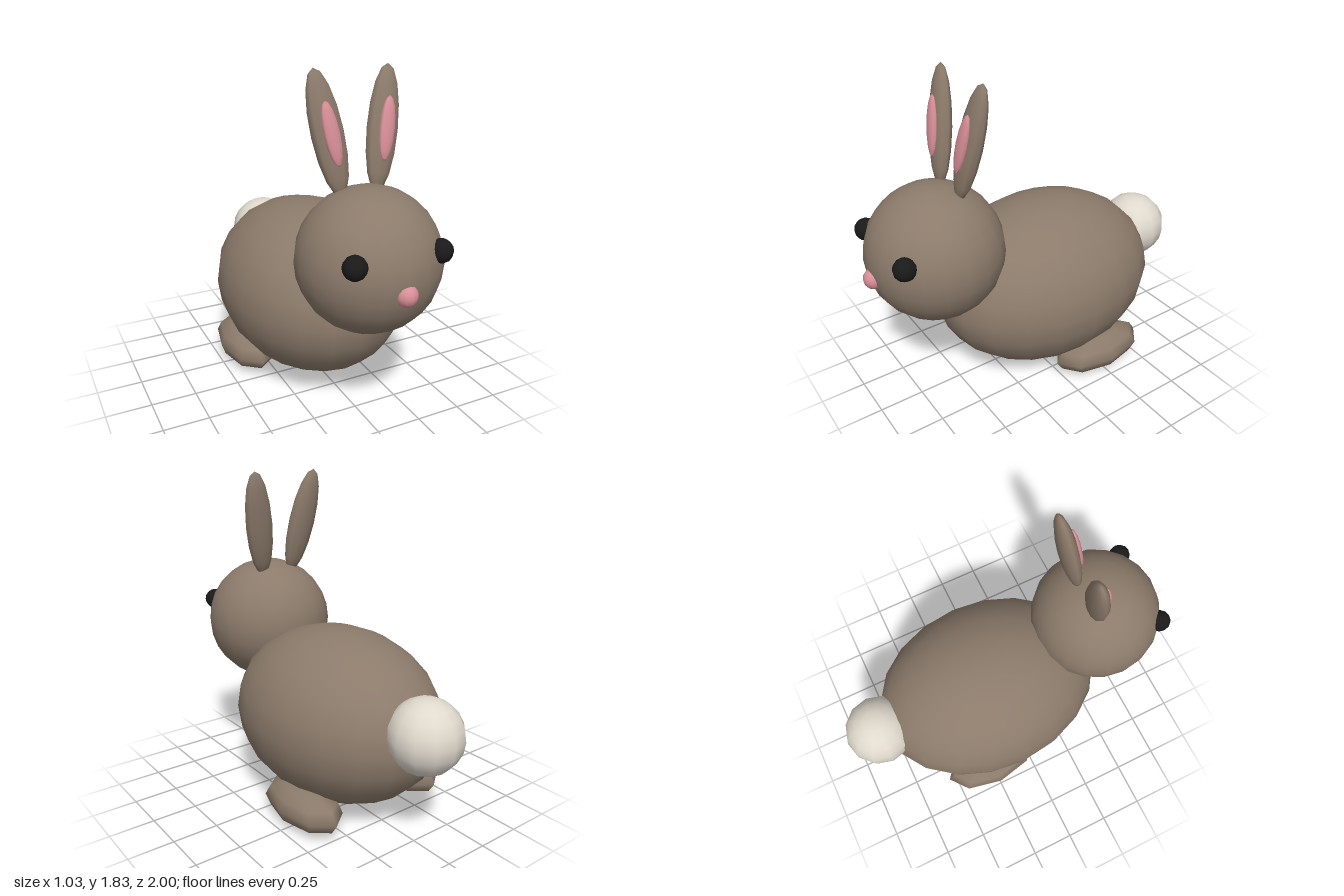
import * as THREE from 'three';

const mat = (name, color) => {
  const m = new THREE.MeshStandardMaterial({ color });
  m.name = name;
  return m;
};

export function createModel() {
  const fur = mat('brown fur', 0x8c7b6b);
  const white = mat('white fluff', 0xe0d9cd);
  const pink = mat('pink skin', 0xd98f98);
  const black = mat('black eye', 0x1a1a1a);

  const rabbit = new THREE.Group();
  rabbit.name = 'rabbit';

  // Ellipsoid part: position, radii, sphere segments
  const blob = (name, material, pos, radii, w, h, parent = rabbit) => {
    const geometry = new THREE.SphereGeometry(1, w, h).scale(...radii);
    const mesh = new THREE.Mesh(geometry, material);
    mesh.name = name;
    mesh.position.set(...pos);
    parent.add(mesh);
    return mesh;
  };

  // Body, head, tail and nose on the centre line
  blob('body', fur, [0, 0.52, -0.1], [0.516, 0.49, 0.68], 20, 12);
  blob('head', fur, [0, 0.92, 0.595], [0.37, 0.37, 0.37], 20, 14);
  blob('tail', white, [0, 0.62, -0.8], [0.2, 0.2, 0.2], 12, 10);
  blob('nose', pink, [0, 0.87, 0.942], [0.056, 0.056, 0.056], 12, 8);

  // Paired parts
  for (const [side, s] of [['left', 1], ['right', -1]]) {
    blob(side + 'Eye', black, [s * 0.23, 1.02, 0.87], [0.06, 0.06, 0.06], 12, 8);
    blob(side + 'Foot', fur, [s * 0.352, 0.117, -0.252], [0.153, 0.115, 0.295], 8, 6);

    // Ear leans outward and back, with its pink inside set on the front
    const ear = new THREE.Group();
    ear.name = side + 'Ear';
    ear.position.set(s * 0.15, 1.525, 0.442);
    ear.rotation.set(-0.17, 0, -s * 0.17);
    blob(side + 'OuterEar', fur, [0, 0, 0], [0.088, 0.314, 0.05], 10, 8, ear);
    blob(side + 'InnerEar', pink, [0, 0, 0.047], [0.043, 0.158, 0.022], 10, 8, ear);
    rabbit.add(ear);
  }
  return rabbit;
}
